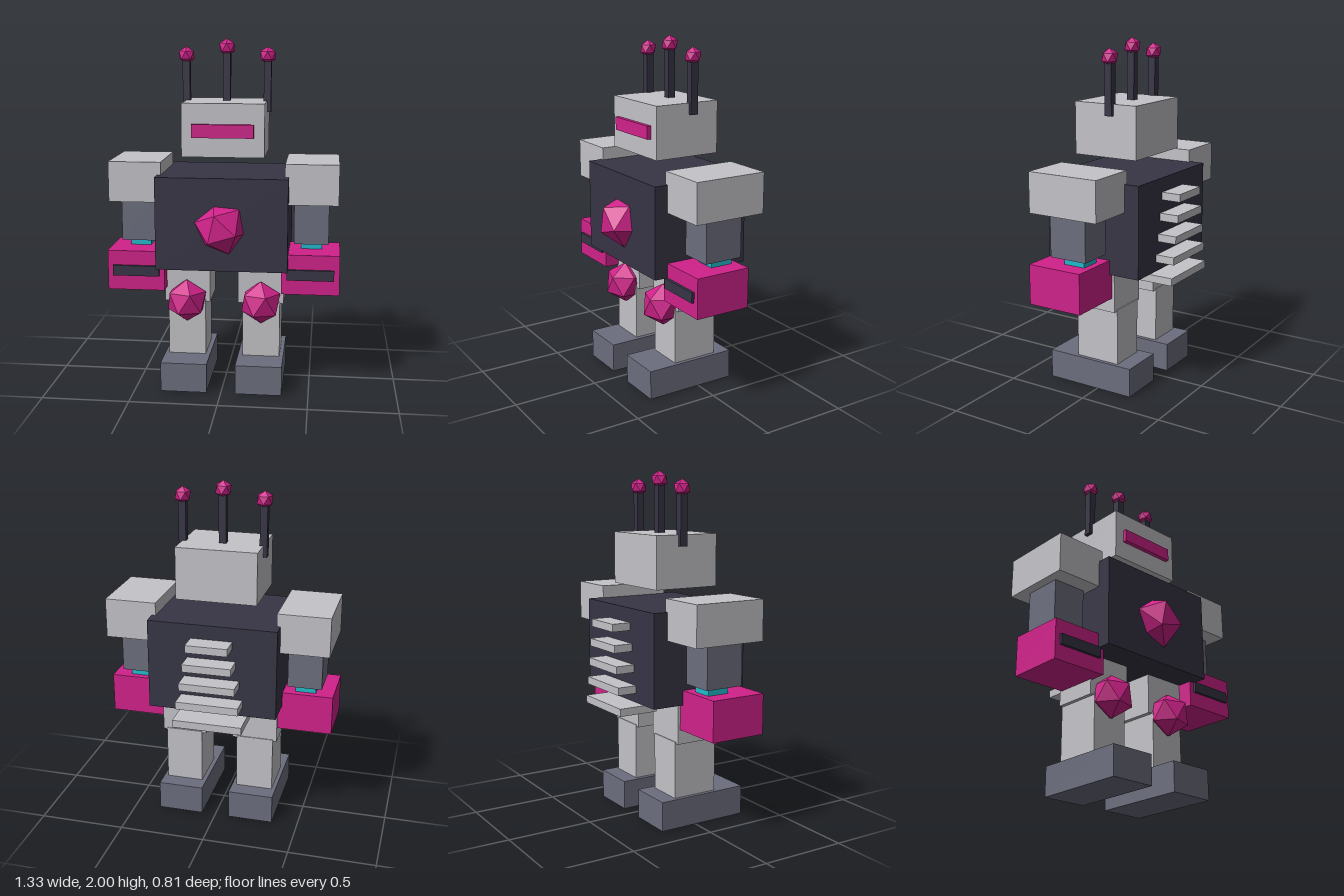
import * as THREE from 'three';

const mat = (name, color) => {
  const m = new THREE.MeshStandardMaterial({ color });
  m.name = name;
  return m;
};

export function createModel() {
  const light = mat('light grey', 0xc4c3c8);
  const dark = mat('dark navy', 0x373545);
  const slate = mat('slate grey', 0x6c6e7e);
  const pink = mat('magenta', 0xd0228a);
  const cyan = mat('cyan', 0x22bbcc);

  const robot = new THREE.Group();
  robot.name = 'robot';

  // Box given by its extents on each axis
  const box = (name, m, [x0, x1], [y0, y1], [z0, z1]) => {
    const mesh = new THREE.Mesh(new THREE.BoxGeometry(x1 - x0, y1 - y0, z1 - z0), m);
    mesh.position.set((x0 + x1) / 2, (y0 + y1) / 2, (z0 + z1) / 2);
    mesh.name = name;
    robot.add(mesh);
  };
  // The same box on both sides; x range is for the left (+x) side
  const pair = (name, m, [x0, x1], y, z) => {
    box(name + 'Left', m, [x0, x1], y, z);
    box(name + 'Right', m, [-x1, -x0], y, z);
  };
  // Faceted gem with one vertex pointing straight up
  const gem = (name, r, x, y, z, turn = 0) => {
    const geo = new THREE.IcosahedronGeometry(r, 0);
    geo.rotateX(-Math.atan((1 + Math.sqrt(5)) / 2)).rotateY(turn);
    const mesh = new THREE.Mesh(geo, pink);
    mesh.position.set(x, y, z);
    mesh.name = name;
    robot.add(mesh);
  };

  // Head and visor
  box('head', light, [-0.233, 0.233], [1.35, 1.65], [-0.19, 0.21]);
  box('visor', pink, [-0.174, 0.174], [1.46, 1.535], [0.19, 0.234]);

  // Antennas with gem tips
  for (const [x, top] of [[-0.233, 1.905], [0, 1.95], [0.233, 1.905]]) {
    box('antenna', dark, [x - 0.021, x + 0.021], [1.585, top - 0.02], [-0.045, 0]);
    gem('antennaTip', 0.05, x, top, -0.023);
  }

  // Torso and chest gem, one facet facing forward
  box('torso', dark, [-0.372, 0.372], [0.72, 1.247], [-0.292, 0.308]);
  const core = new THREE.IcosahedronGeometry(0.153, 0);
  core.applyQuaternion(new THREE.Quaternion().setFromUnitVectors(
    new THREE.Vector3(1, 1, 1).normalize(), new THREE.Vector3(0, 0, 1)));
  core.rotateZ(0.7);
  const chest = new THREE.Mesh(core, pink);
  chest.position.set(0, 0.965, 0.283);
  chest.name = 'chestGem';
  robot.add(chest);

  // Spine plates, widening downward
  for (let i = 0; i < 5; i++) {
    const w = 0.12 + i * 0.02, y = 1.143 - i * 0.116;
    box('spinePlate', light, [-w, w], [y - 0.022, y + 0.022], [-0.405, -0.17]);
  }

  // Arms
  pair('shoulder', light, [0.35, 0.65], [1.09, 1.32], [-0.205, 0.227]);
  pair('upperArm', slate, [0.4, 0.598], [0.845, 1.1], [-0.1, 0.128]);
  pair('elbow', cyan, [0.44, 0.56], [0.79, 0.85], [-0.066, 0.066]);
  pair('forearm', pink, [0.335, 0.664], [0.574, 0.804], [-0.105, 0.227]);
  pair('forearmSlot', dark, [0.365, 0.633], [0.66, 0.72], [0.2, 0.243]);

  // Legs
  pair('thigh', light, [0.082, 0.347], [0.49, 0.73], [-0.12, 0.14]);
  pair('shin', light, [0.108, 0.325], [0.16, 0.5], [-0.125, 0.147]);
  pair('foot', slate, [0.082, 0.348], [0, 0.17], [-0.222, 0.325]);
  for (const s of [-1, 1]) gem('kneeGem', 0.125, s * 0.216, 0.5, 0.16, 0.3);

  return robot;
}
